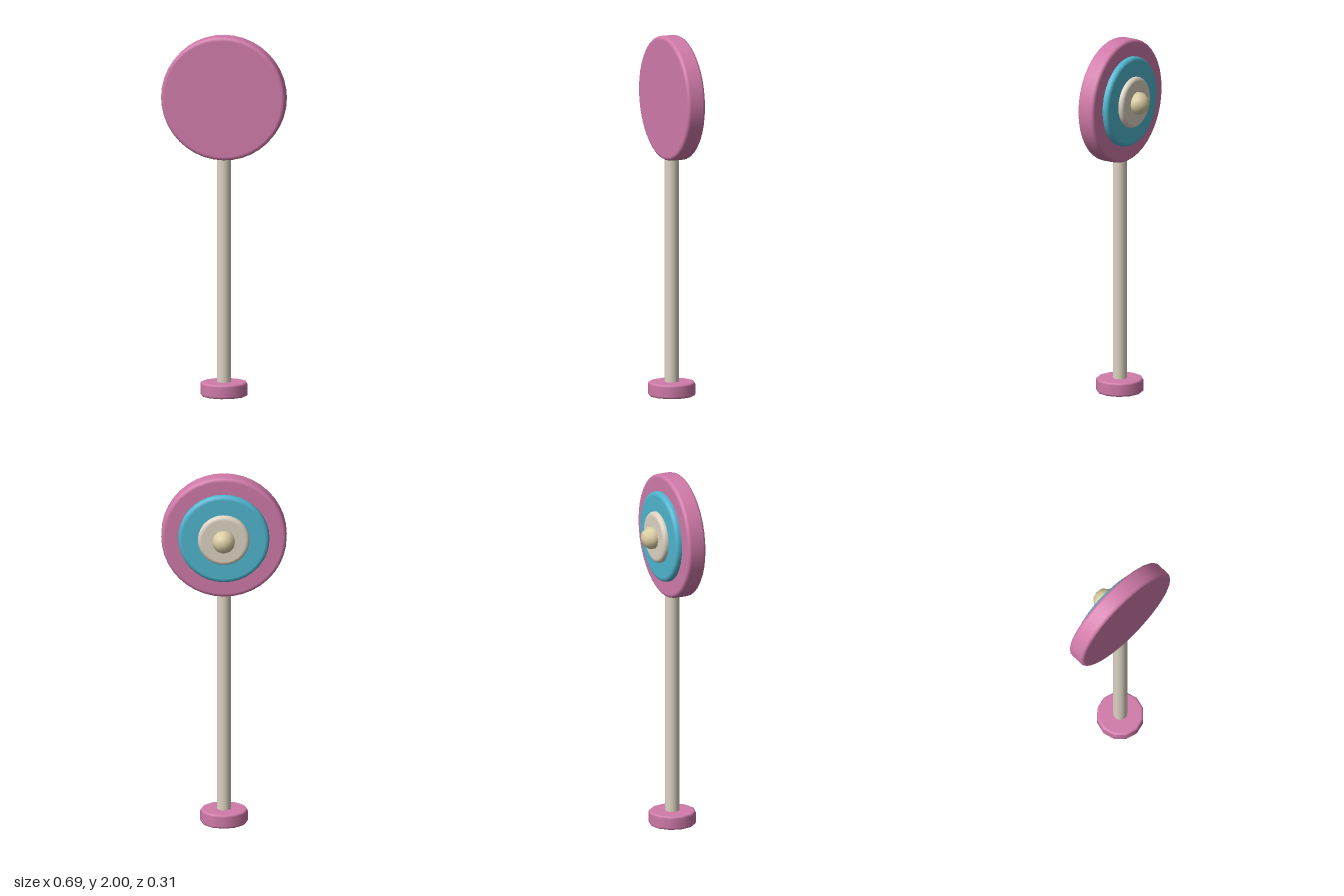
import * as THREE from 'three';

// Solid round disc along y from y0 to y1, with rounded rims
function roundedDisc(radius, y0, y1, bevel, sides) {
  const steps = 4, e = 0.002;
  const pts = [new THREE.Vector2(0, y0), new THREE.Vector2(radius - bevel - e, y0)];
  for (let i = 0; i <= steps; i++) {
    const a = (i / steps) * Math.PI / 2;
    pts.push(new THREE.Vector2(radius - bevel + bevel * Math.sin(a), y0 + bevel - bevel * Math.cos(a)));
  }
  for (let i = 0; i <= steps; i++) {
    const a = (i / steps) * Math.PI / 2;
    pts.push(new THREE.Vector2(radius - bevel + bevel * Math.cos(a), y1 - bevel + bevel * Math.sin(a)));
  }
  pts.push(new THREE.Vector2(radius - bevel - e, y1), new THREE.Vector2(0, y1));
  return new THREE.LatheGeometry(pts, sides);
}

export function createModel() {
  const group = new THREE.Group();
  const material = (name, color) => {
    const m = new THREE.MeshStandardMaterial({ color });
    m.name = name;
    return m;
  };
  const pink = material('pink', 0xd07aa9);
  const teal = material('teal', 0x4fb5ce);
  const cream = material('cream', 0xddd3c2);
  const sand = material('sand', 0xdccfa4);

  const add = (name, geometry, mat, y, z) => {
    const mesh = new THREE.Mesh(geometry, mat);
    mesh.name = name;
    mesh.position.set(0, y, z);
    group.add(mesh);
  };

  // Foot and pole share an axis through the middle of the big disc
  const poleZ = 0.026, headY = 1.657;
  add('base', roundedDisc(0.13, 0.002, 0.08, 0.012, 12), pink, 0, poleZ);
  add('pole', new THREE.CylinderGeometry(0.039, 0.039, 1.4, 16), cream, 0.7, poleZ);

  // Head: stacked discs stepping towards the back
  const discs = [
    ['outerDisc', 0.343, -0.028, 0.077, 0.018, 40, pink],
    ['middleDisc', 0.25, -0.06, 0.0, 0.02, 36, teal],
    ['innerDisc', 0.142, -0.087, -0.03, 0.02, 28, cream],
  ];
  for (const [name, r, z0, z1, bevel, sides, mat] of discs) {
    add(name, roundedDisc(r, z0, z1, bevel, sides).rotateX(Math.PI / 2), mat, headY, 0);
  }

  // Round knob at the centre of the back
  add('knob', new THREE.SphereGeometry(0.065, 12, 5).rotateX(Math.PI / 2), sand, headY, -0.093);

  return group;
}
